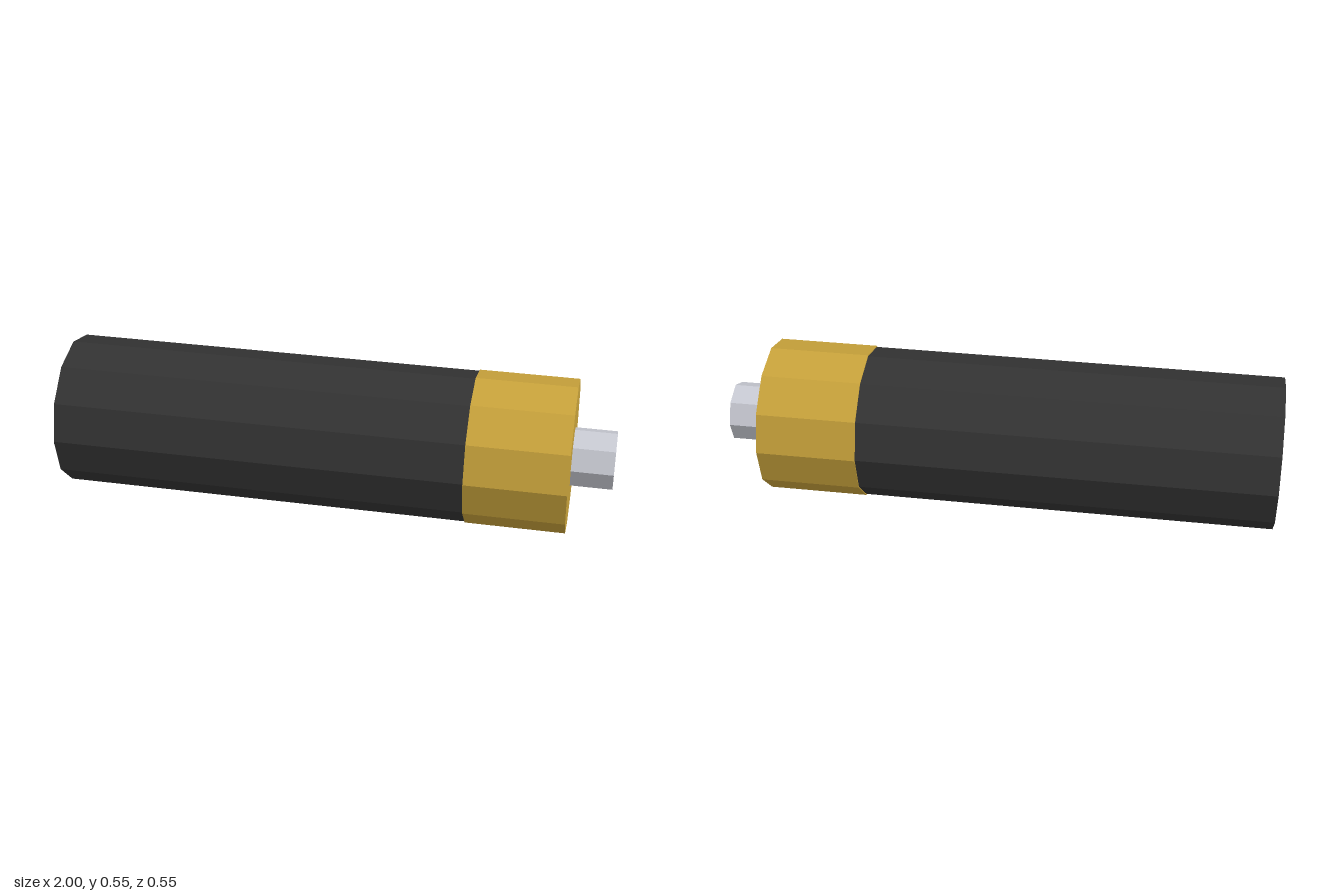
import * as THREE from 'three';

function material(name, color) {
  const m = new THREE.MeshStandardMaterial({ color, flatShading: true });
  m.name = name;
  return m;
}

export function createModel() {
  const model = new THREE.Group();
  model.name = 'battery';
  const axisY = 0.277;

  // Faceted cylinder lying along x, from x0 to x1
  const barrel = (name, x0, x1, radius, sides, mat) => {
    const geometry = new THREE.CylinderGeometry(radius, radius, x1 - x0, sides);
    geometry.rotateZ(-Math.PI / 2);
    const mesh = new THREE.Mesh(geometry, mat);
    mesh.name = name;
    mesh.position.set((x0 + x1) / 2, axisY, 0);
    model.add(mesh);
  };

  // Dark casing, slightly wider gold band, and the metal contact
  barrel('casing', -1, 0.49, 0.273, 12, material('black', 0x333333));
  barrel('goldBand', 0.49, 0.85, 0.277, 12, material('gold', 0xc9a33b));
  barrel('terminal', 0.85, 1, 0.108, 8, material('silver', 0xc9cbd4));

  return model;
}
